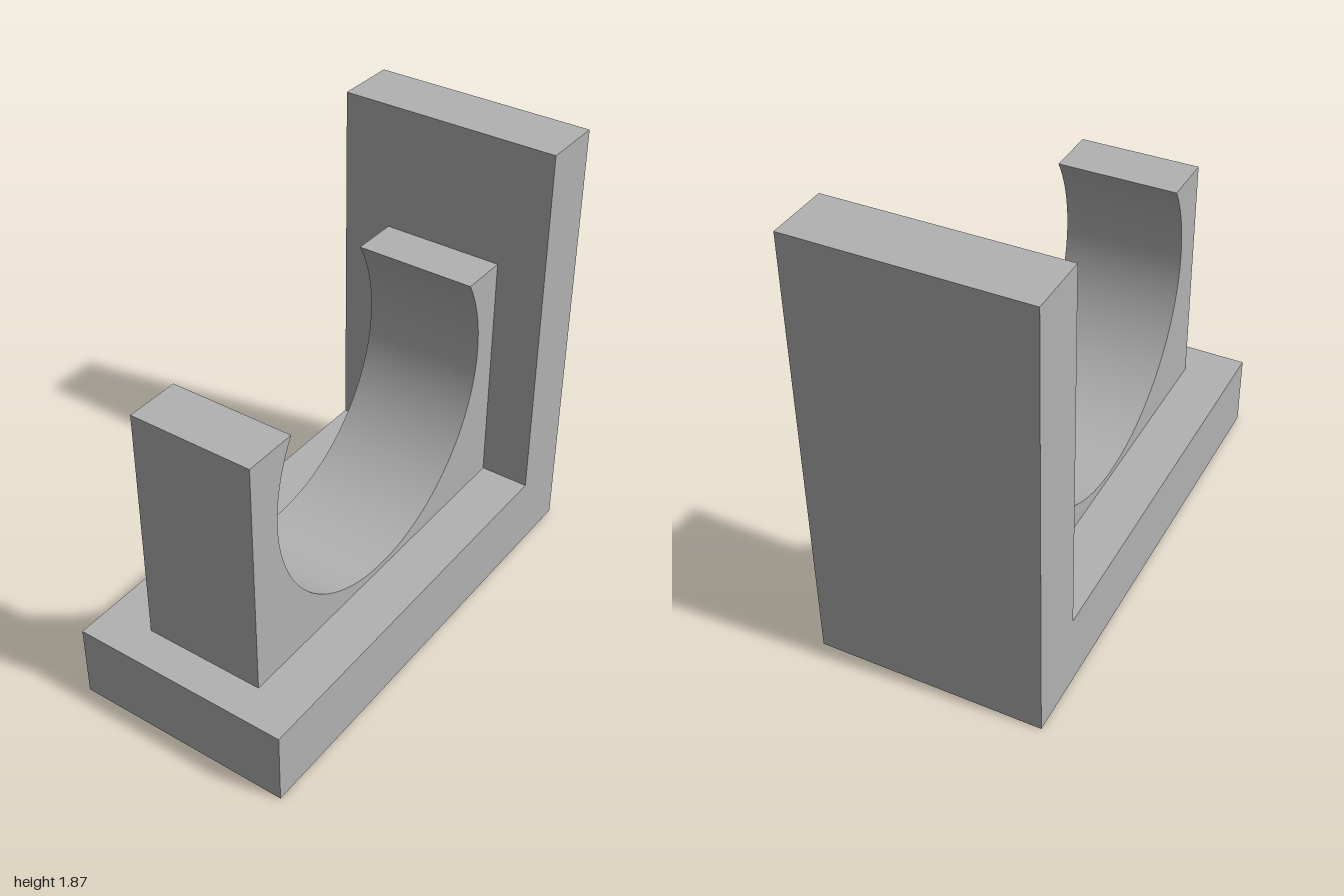
import * as THREE from 'three';
import { toCreasedNormals } from 'three/addons/utils/BufferGeometryUtils.js';

// Extrude a front outline to a given depth, centred on z = 0
function slab(name, shape, depth, material) {
  const geometry = new THREE.ExtrudeGeometry(shape, { depth, bevelEnabled: false, curveSegments: 36 });
  geometry.translate(0, 0, -depth / 2);
  const mesh = new THREE.Mesh(toCreasedNormals(geometry, 0.4), material);
  mesh.name = name;
  return mesh;
}

function outline(points) {
  return new THREE.Shape(points.map(([x, y]) => new THREE.Vector2(x, y)));
}

export function createModel() {
  const group = new THREE.Group();
  group.name = 'pipeClipBracket';
  const grey = new THREE.MeshStandardMaterial({ color: 0xb2b2b2 });
  grey.name = 'plainGrey';

  const baseTop = 0.315, wallX = 0.74;

  // L-shaped bracket: base plate and upright wall
  const bracket = outline([[-1, 0], [1, 0], [1, 1.87], [wallX, 1.87], [wallX, baseTop], [-1, baseTop]]);
  group.add(slab('bracket', bracket, 0.935, grey));

  // Clip block with a round seat open at the top
  const clipTop = 1.335, clipX = -0.845, cx = -0.04, cy = 1.004, radius = 0.665;
  const lip = Math.asin((clipTop - cy) / radius);
  const clip = outline([[clipX, baseTop], [wallX, baseTop], [wallX, clipTop]]);
  clip.lineTo(cx + radius * Math.cos(lip), clipTop);
  clip.absarc(cx, cy, radius, lip, Math.PI - lip, true);
  clip.lineTo(clipX, clipTop);
  clip.closePath();
  group.add(slab('clip', clip, 0.516, grey));

  return group;
}
